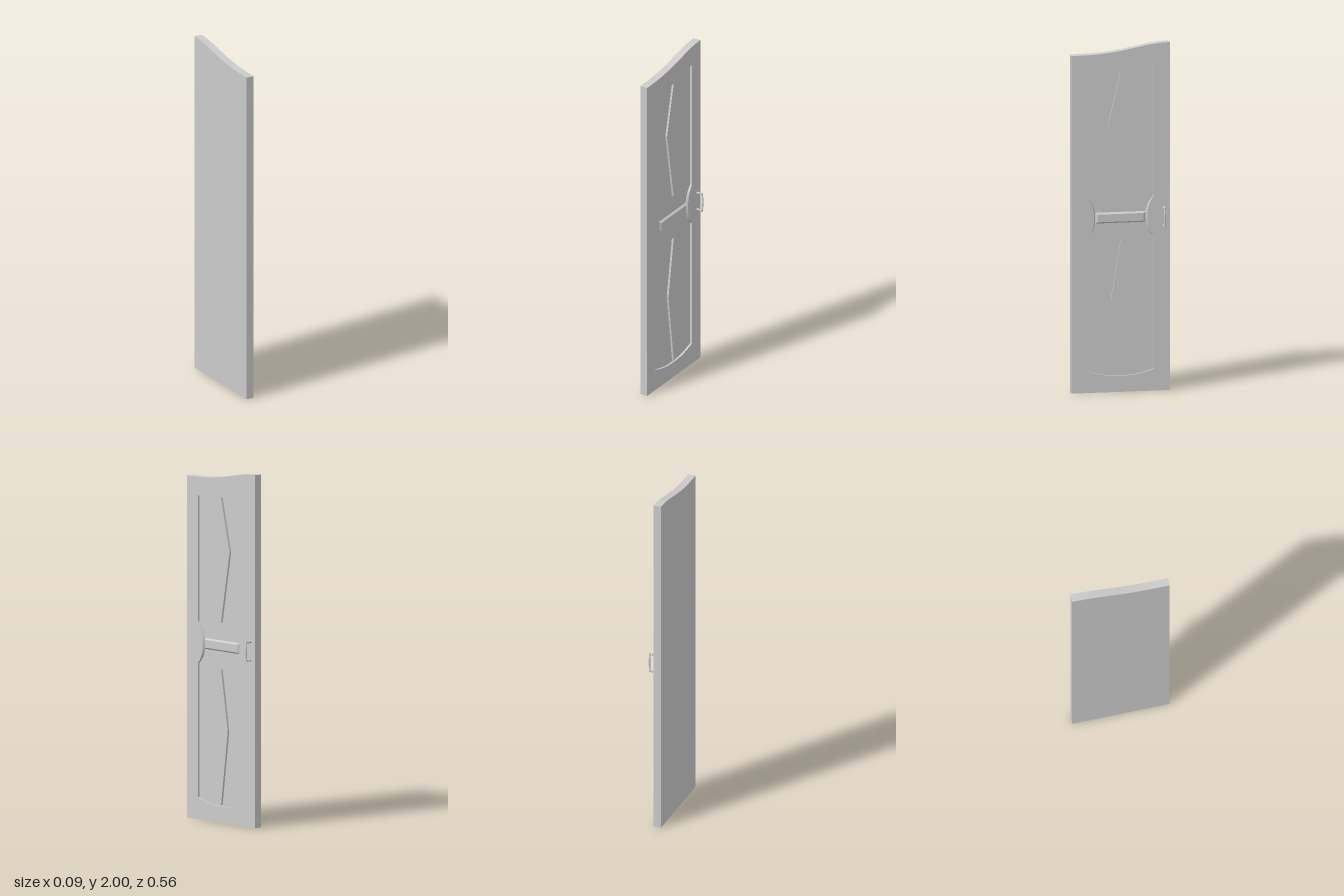
import * as THREE from 'three';
import { toCreasedNormals } from 'three/addons/utils/BufferGeometryUtils.js';

const BACK = -0.045, FLOOR = -0.012, FACE = 0; // depths along x
const grey = new THREE.MeshStandardMaterial({ color: 0xcccccc });

function add(parent, name, geometry) {
  const mesh = new THREE.Mesh(geometry, grey);
  mesh.name = name;
  parent.add(mesh);
  return mesh;
}

const pts = (list) => list.map(([u, y]) => new THREE.Vector2(u, y));
const curve = (list, n = 20) => new THREE.SplineCurve(pts(list)).getPoints(n);

// Extrudes an outline drawn as (-z, y) from depth x0 to depth x1
function slab(shape, x0, x1) {
  const g = new THREE.ExtrudeGeometry(shape, { depth: x1 - x0, bevelEnabled: false });
  return g.translate(0, 0, x0).rotateY(Math.PI / 2);
}

// Door outline with the S-curved top
function doorOutline() {
  const top = curve([[0.28, 2], [0.235, 1.998], [0.16, 1.99], [0, 1.96], [-0.1, 1.947], [-0.17, 1.942], [-0.28, 1.94]], 28);
  return new THREE.Shape([...pts([[-0.28, 0], [0.28, 0]]), ...top]);
}

// Panel outline: bowed bottom, pinched waist, curved top
function panelOutline() {
  const waist = [
    ...curve([[0.19, 0.885], [0.164, 0.925], [0.152, 0.97]], 8),
    ...curve([[0.152, 1.035], [0.164, 1.08], [0.19, 1.125]], 8),
  ];
  return [
    ...curve([[-0.19, 0.125], [-0.1, 0.1], [0, 0.092], [0.1, 0.1], [0.19, 0.125]], 16),
    ...waist,
    ...curve([[0.19, 1.88], [0.12, 1.872], [0, 1.848], [-0.1, 1.838], [-0.19, 1.835]], 20),
    ...waist.map((p) => new THREE.Vector2(-p.x, p.y)).reverse(),
  ];
}

function createFrame() {
  const shape = doorOutline();
  shape.holes.push(new THREE.Path(panelOutline()));
  const g = slab(shape, FLOOR, FACE);
  // Slope the walls of the waist inward toward the panel floor
  const p = g.attributes.position;
  for (let i = 0; i < p.count; i++) {
    const z = p.getZ(i), pinch = 0.19 - Math.abs(z);
    if (p.getX(i) < FLOOR / 2 && pinch > 0.001 && p.getY(i) > 0.88 && p.getY(i) < 1.13)
      p.setZ(i, z - Math.sign(z) * pinch * 0.22);
  }
  return toCreasedNormals(g, 0.4);
}

// Raised bar whose front face is smaller than its base
function createBar() {
  const g = new THREE.BoxGeometry(FACE - FLOOR, 0.062, 0.288);
  const p = g.attributes.position;
  for (let i = 0; i < p.count; i++) {
    if (p.getX(i) > 0) {
      p.setY(i, p.getY(i) - Math.sign(p.getY(i)) * 0.009);
      p.setZ(i, p.getZ(i) - Math.sign(p.getZ(i)) * 0.014);
    }
  }
  return toCreasedNormals(g.translate((FACE + FLOOR) / 2, 1.001, 0), 0.3);
}

function createHandle() {
  const handle = new THREE.Group();
  handle.name = 'handle';
  handle.position.set(0, 1.001, -0.245);

  const postProfile = pts([[0, 0], [0.007, 0], [0.007, 0.003], [0.0055, 0.006], [0.005, 0.014],
    [0.0075, 0.018], [0.0075, 0.021], [0.004, 0.025], [0.004, 0.031], [0, 0.031]]);
  for (const side of [1, -1]) {
    const post = add(handle, side > 0 ? 'upperPost' : 'lowerPost',
      toCreasedNormals(new THREE.LatheGeometry(postProfile, 16).rotateZ(-Math.PI / 2), 0.7));
    post.position.y = side * 0.052;
    const collar = add(handle, side > 0 ? 'upperCollar' : 'lowerCollar',
      new THREE.CylinderGeometry(0.0065, 0.0065, 0.012, 16));
    collar.position.set(0.0335, side * 0.052, 0);
  }

  // Grip: thicker in the middle and bowed away from the door
  const profile = [];
  for (let i = 0; i <= 20; i++) {
    const t = i / 10 - 1;
    profile.push(new THREE.Vector2(0.0032 + 0.0022 * (1 - t * t), t * 0.052));
  }
  const grip = new THREE.LatheGeometry(profile, 14);
  const p = grip.attributes.position;
  for (let i = 0; i < p.count; i++) {
    const t = p.getY(i) / 0.052;
    p.setX(i, p.getX(i) + 0.032 + 0.0055 * (1 - t * t));
  }
  grip.computeVertexNormals();
  add(handle, 'grip', grip);
  return handle;
}

export function createModel() {
  const door = new THREE.Group();
  door.name = 'door';

  add(door, 'backSlab', toCreasedNormals(slab(doorOutline(), BACK, FLOOR), 0.4));
  add(door, 'frontFrame', createFrame());

  // Raised diamonds: bottom tip, widest height, top tip, half width
  const diamonds = { upperDiamond: [1.135, 1.54, 1.843, 0.07], lowerDiamond: [0.1, 0.525, 0.87, 0.055] };
  for (const [name, [bottom, mid, top, half]] of Object.entries(diamonds))
    add(door, name, slab(new THREE.Shape(pts([[0, bottom], [half, mid], [0, top], [-half, mid]])), FLOOR, FACE));

  add(door, 'middleBar', createBar());
  door.add(createHandle());
  return door;
}
